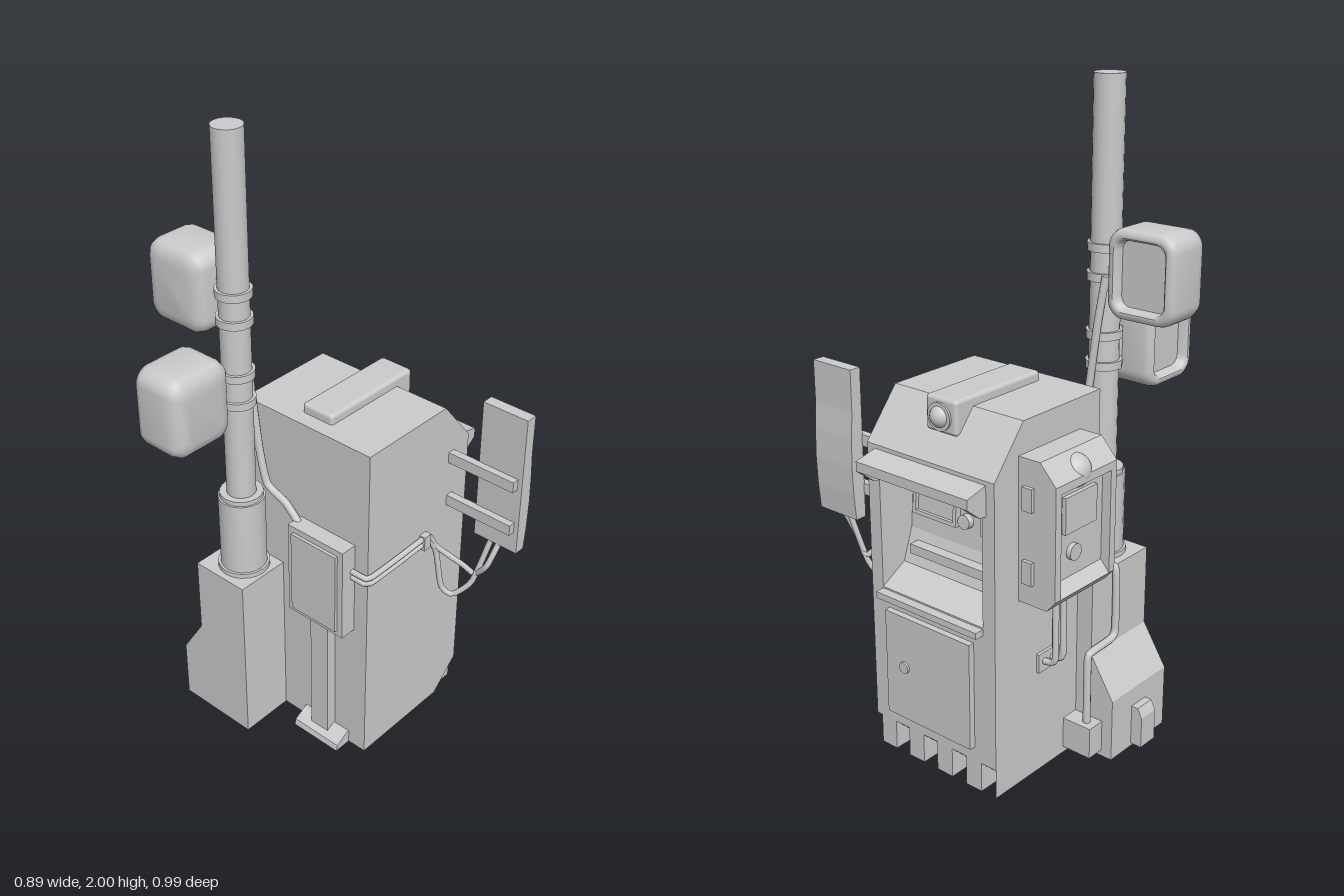
import * as THREE from 'three';
import { mergeVertices, toCreasedNormals } from 'three/addons/utils/BufferGeometryUtils.js';
import { RoundedBoxGeometry } from 'three/addons/geometries/RoundedBoxGeometry.js';

const material = new THREE.MeshStandardMaterial({ color: 0xcccccc, side: THREE.DoubleSide });
const V = (p) => new THREE.Vector3(...p);

function add(parent, name, geometry) {
  const mesh = new THREE.Mesh(geometry, material);
  mesh.name = name;
  parent.add(mesh);
  return mesh;
}

// Box given by its limits on each axis
function box(parent, name, x0, x1, y0, y1, z0, z1) {
  const mesh = add(parent, name, new THREE.BoxGeometry(x1 - x0, y1 - y0, z1 - z0));
  mesh.position.set((x0 + x1) / 2, (y0 + y1) / 2, (z0 + z1) / 2);
  return mesh;
}

const polygon = (points) => new THREE.Shape(points.map(([a, b]) => new THREE.Vector2(a, b)));

// Outline in x,y pushed from z0 to z1
function alongZ(parent, name, points, z0, z1) {
  const g = new THREE.ExtrudeGeometry(polygon(points), { depth: z1 - z0, bevelEnabled: false });
  return add(parent, name, g.translate(0, 0, z0));
}

// Outline in z,y pushed from x0 to x1
function alongX(parent, name, points, x0, x1) {
  const g = new THREE.ExtrudeGeometry(polygon(points), { depth: x1 - x0, bevelEnabled: false });
  return add(parent, name, g.rotateY(-Math.PI / 2).translate(x1, 0, 0));
}

function tube(parent, name, points, radius) {
  const curve = new THREE.CatmullRomCurve3(points.map(V), false, 'catmullrom', 0.3);
  return add(parent, name, new THREE.TubeGeometry(curve, 48, radius, 10));
}

// Rod between two points
function rod(parent, name, a, b, radius) {
  const d = V(b).sub(V(a));
  const mesh = add(parent, name, new THREE.CylinderGeometry(radius, radius, d.length(), 20));
  mesh.position.copy(V(a)).addScaledVector(d, 0.5);
  mesh.quaternion.setFromUnitVectors(new THREE.Vector3(0, 1, 0), d.normalize());
  return mesh;
}

// Lamp housing: rounded rectangles lofted along z, with a framed recess at the +z end
function lampGeometry(w, h, d) {
  const sections = [[0.045, 0], [0.02, 0.006], [0.006, 0.02], [0, 0.045], [0, d - 0.025],
    [0.004, d - 0.008], [0.014, d], [0.024, d], [0.03, d - 0.006], [0.034, d - 0.03]];
  const n = 32, pos = [], idx = [];
  sections.forEach(([inset, z]) => {
    const r = Math.max(0.05 - inset * 0.6, 0.02), a = w / 2 - inset - r, b = h / 2 - inset - r;
    for (let i = 0; i < n; i++) {
      const q = Math.floor(i / 8), t = (q + (i % 8) / 7) * Math.PI / 2;
      pos.push((q === 0 || q === 3 ? a : -a) + r * Math.cos(t), (q < 2 ? b : -b) + r * Math.sin(t), z - d / 2);
    }
  });
  for (let s = 0; s < sections.length - 1; s++) {
    for (let i = 0; i < n; i++) {
      const j = (i + 1) % n, k = s * n;
      idx.push(k + i, k + j, k + n + j, k + i, k + n + j, k + n + i);
    }
  }
  const last = (sections.length - 1) * n;
  for (let i = 1; i < n - 1; i++) {
    idx.push(0, i + 1, i, last, last + i, last + i + 1);
  }
  const g = new THREE.BufferGeometry();
  g.setAttribute('position', new THREE.Float32BufferAttribute(pos, 3));
  g.setIndex(idx);
  return toCreasedNormals(mergeVertices(g), 0.75);
}

function buildCabinet(parent) {
  const g = new THREE.Group();
  g.name = 'cabinet';
  parent.add(g);
  const outer = [[-0.09, 0], [0.27, 0], [0.37, 0.095], [0.37, 0.985], [0.25, 1.13], [-0.09, 1.13]];
  const notch = [[0.37, 0.54], [0.28, 0.59], [0.245, 0.69], [0.225, 0.95], [0.37, 0.95]];
  alongZ(g, 'sideWall', outer, 0.2, 0.245);
  alongZ(g, 'sideWall', outer, -0.235, -0.19);
  alongZ(g, 'cabinetCore', [...outer.slice(0, 3), ...notch, ...outer.slice(3)], -0.19, 0.2);
  // Teeth along the foot of the face
  for (let i = 0; i < 5; i++) {
    const z = 0.195 - i * 0.115;
    alongZ(g, 'footTooth', [[0.27, 0], [0.37, 0], [0.37, 0.095]], Math.max(z - 0.03, -0.235), z + 0.03);
  }
  // Visor over the recess
  alongZ(g, 'visor', [[0.36, 0.945], [0.445, 0.925], [0.445, 0.955], [0.36, 0.975]], -0.205, 0.215);
  for (const z of [-0.205, 0.195]) {
    alongZ(g, 'visorBracket', [[0.36, 0.88], [0.395, 0.885], [0.445, 0.925], [0.36, 0.955]], z, z + 0.02);
  }
  box(g, 'ledge', 0.36, 0.4, 0.515, 0.535, -0.19, 0.2);
  // Leaning control panel
  const panel = new THREE.Group();
  panel.name = 'controlPanel';
  panel.position.set(0.235, 0.82, 0);
  panel.rotation.z = 0.077;
  g.add(panel);
  const frame = polygon([[0.01, -0.075], [0.18, -0.075], [0.18, 0.075], [0.01, 0.075]]);
  frame.holes.push(polygon([[0.022, -0.063], [0.168, -0.063], [0.168, 0.063], [0.022, 0.063]]));
  add(panel, 'screenFrame', new THREE.ExtrudeGeometry(frame, { depth: 0.02, bevelEnabled: false })
    .rotateY(-Math.PI / 2).translate(0.02, 0, 0));
  box(panel, 'screen', -0.01, 0.008, -0.065, 0.065, 0.02, 0.17);
  box(panel, 'keypad', -0.01, 0.015, -0.075, 0.075, -0.165, -0.08);
  for (const [y, z] of [[0.045, -0.13], [0.01, -0.13]]) {
    rod(panel, 'keypadButton', [0.01, y, z], [0.025, y, z], 0.014);
  }
  rod(panel, 'knob', [0, -0.05, -0.02], [0.02, -0.05, -0.02], 0.022);
  box(g, 'slotTray', 0.25, 0.29, 0.63, 0.66, -0.15, 0.165);
  // Lower door
  box(g, 'door', 0.36, 0.39, 0.14, 0.48, -0.155, 0.175);
  rod(g, 'doorLock', [0.385, 0.315, 0.1], [0.397, 0.315, 0.1], 0.018);
  // Camera housing on the roof
  const housing = add(g, 'roofCamera', new RoundedBoxGeometry(0.36, 0.105, 0.115, 3, 0.012));
  housing.position.set(0.14, 1.108, 0.0025);
  rod(g, 'cameraLens', [0.31, 1.105, 0.005], [0.326, 1.105, 0.005], 0.042);
  const eye = add(g, 'cameraEye', new THREE.SphereGeometry(0.033, 20, 12));
  eye.position.set(0.315, 1.105, 0.005);
}

function buildSign(parent) {
  const g = new THREE.Group();
  g.name = 'sideSign';
  parent.add(g);
  alongZ(g, 'signPanel', [[0.298, 0.7], [0.335, 0.7], [0.342, 0.78], [0.345, 0.87], [0.342, 0.96],
    [0.336, 1.04], [0.336, 1.17], [0.298, 1.17]], 0.34, 0.495);
  for (const y of [0.79, 0.945]) box(g, 'signArm', 0.275, 0.3, y - 0.018, y + 0.018, 0.24, 0.48);
  // Paired cables along the side wall, hanging and rising to the sign
  [[0.71, 0.56, 0.36, 0.43, 0.28], [0.69, 0.475, 0.31, 0.4, 0.24]].forEach(([y, low, zLow, zEnd, xLow]) => {
    tube(g, 'signCable', [[-0.1, y, 0.15], [-0.102, y, 0.23], [-0.09, y, 0.254], [0.05, y, 0.254],
      [0.18, y, 0.254], [0.21, y - 0.05, 0.265], [xLow - 0.015, low + 0.03, zLow - 0.03],
      [xLow + 0.005, low, zLow], [0.275, low + 0.06, zLow + 0.05], [0.315, 0.72, zEnd]], 0.009);
  });
  box(g, 'cableClip', 0.15, 0.18, 0.675, 0.725, 0.24, 0.266);
}

function buildTerminal(parent) {
  const g = new THREE.Group();
  g.name = 'rearTerminal';
  parent.add(g);
  const outer = [[-0.23, 0.6], [-0.335, 0.6], [-0.365, 0.635], [-0.365, 0.975], [-0.31, 1.035], [-0.23, 1.035]];
  const core = [[-0.23, 0.6], [-0.335, 0.6], [-0.365, 0.635], [-0.335, 0.67], [-0.335, 0.94], [-0.365, 0.95],
    [-0.365, 0.975], [-0.31, 1.035], [-0.23, 1.035]];
  alongX(g, 'terminalSide', outer, 0, 0.025);
  alongX(g, 'terminalSide', outer, 0.245, 0.27);
  alongX(g, 'terminalCore', core, 0.025, 0.245);
  const dome = add(g, 'sensorDome', new THREE.SphereGeometry(0.05, 24, 16));
  dome.position.set(0.135, 0.975, -0.318);
  box(g, 'terminalScreen', 0.065, 0.205, 0.81, 0.92, -0.348, -0.33);
  rod(g, 'terminalButton', [0.16, 0.745, -0.33], [0.16, 0.745, -0.35], 0.025);
  for (const y of [0.7, 0.92]) {
    box(g, 'hinge', -0.012, 0, y - 0.035, y + 0.035, -0.29, -0.255);
    box(g, 'hinge', 0.27, 0.282, y - 0.035, y + 0.035, -0.29, -0.255);
  }
  // Cables leaving the underside and turning into the wall
  for (const x of [0.13, 0.165]) {
    tube(g, 'terminalCable', [[x, 0.62, -0.285], [x, 0.5, -0.285], [x, 0.39, -0.285],
      [x, 0.37, -0.27], [x, 0.365, -0.225]], 0.01);
  }
  box(g, 'cablePlate', 0.1, 0.19, 0.335, 0.395, -0.245, -0.23);
}

function buildPole(parent) {
  const g = new THREE.Group();
  g.name = 'pole';
  parent.add(g);
  const px = -0.17, pz = -0.185;
  rod(g, 'mast', [px, 0.8, pz], [px, 2, pz], 0.045);
  rod(g, 'mastSleeve', [px, 0.58, pz], [px, 0.845, pz], 0.072);
  rod(g, 'sleeveCap', [px, 0.835, pz], [px, 0.86, pz], 0.066);
  rod(g, 'sleeveCollar', [px, 0.575, pz], [px, 0.6, pz], 0.08);
  // Pedestal with a sloped lower bulge
  box(g, 'pedestal', -0.27, 0, 0, 0.585, -0.29, -0.095);
  alongX(g, 'pedestalBulge', [[-0.28, 0], [-0.372, 0], [-0.372, 0.2], [-0.29, 0.33], [-0.28, 0.33]], -0.27, 0);
  alongX(g, 'pedestalOutlet', [[-0.36, 0.01], [-0.41, 0.01], [-0.41, 0.11], [-0.395, 0.14], [-0.36, 0.14]], -0.17, -0.1);
  tube(g, 'pedestalConduit', [[-0.1, 0.6, -0.23], [-0.1, 0.585, -0.295], [-0.1, 0.54, -0.302], [-0.1, 0.38, -0.302],
    [-0.08, 0.355, -0.302], [0.01, 0.35, -0.302], [0.03, 0.33, -0.3], [0.03, 0.1, -0.3]], 0.012);
  box(g, 'conduitBox', 0, 0.06, 0.02, 0.12, -0.335, -0.23);
  // Lamps, each held by a pair of clamps
  const lamp1 = add(g, 'lowerLamp', lampGeometry(0.22, 0.255, 0.165));
  lamp1.position.set(-0.34, 1.228, -0.222);
  lamp1.rotation.y = Math.PI;
  const lamp2 = add(g, 'upperLamp', lampGeometry(0.22, 0.255, 0.165));
  lamp2.position.set(-0.138, 1.482, -0.38);
  lamp2.rotation.y = Math.PI / 2;
  for (const y of [1.18, 1.27, 1.44, 1.525]) {
    rod(g, 'clamp', [px, y - 0.012, pz], [px, y + 0.012, pz], 0.054);
    if (y < 1.4) rod(g, 'lampArm', [px, y, pz], [-0.25, y, -0.2], 0.011);
    else rod(g, 'lampArm', [-0.145, y, pz], [-0.14, y, -0.29], 0.011);
  }
  rod(g, 'lampBracket', [-0.228, 1.17, -0.195], [-0.228, 1.28, -0.195], 0.012);
  rod(g, 'lampBracket', [-0.14, 1.43, -0.25], [-0.14, 1.535, -0.25], 0.012);
  // Lead running down the mast
  tube(g, 'mastLead', [[-0.125, 1.45, -0.22], [-0.115, 1.3, -0.2], [-0.115, 1.0, -0.16], [-0.115, 0.88, -0.13],
    [-0.11, 0.84, -0.06], [-0.11, 0.78, 0.0], [-0.11, 0.74, 0.03]], 0.012);
}

function buildJunctionBox(parent) {
  const g = new THREE.Group();
  g.name = 'junctionBox';
  parent.add(g);
  alongZ(g, 'boxBody', [[-0.08, 0.48], [-0.145, 0.48], [-0.145, 0.8], [-0.08, 0.8]], -0.02, 0.195);
  box(g, 'boxLid', -0.155, -0.14, 0.5, 0.78, 0, 0.175);
  box(g, 'cableDuct', -0.125, -0.08, 0.03, 0.49, 0.05, 0.12);
  alongZ(g, 'footPlate', [[-0.08, 0], [-0.15, 0], [-0.145, 0.02], [-0.1, 0.045], [-0.08, 0.045]], 0, 0.18);
}

export function createModel() {
  const model = new THREE.Group();
  model.name = 'streetTerminal';
  for (const build of [buildCabinet, buildSign, buildTerminal, buildPole, buildJunctionBox]) build(model);
  return model;
}
